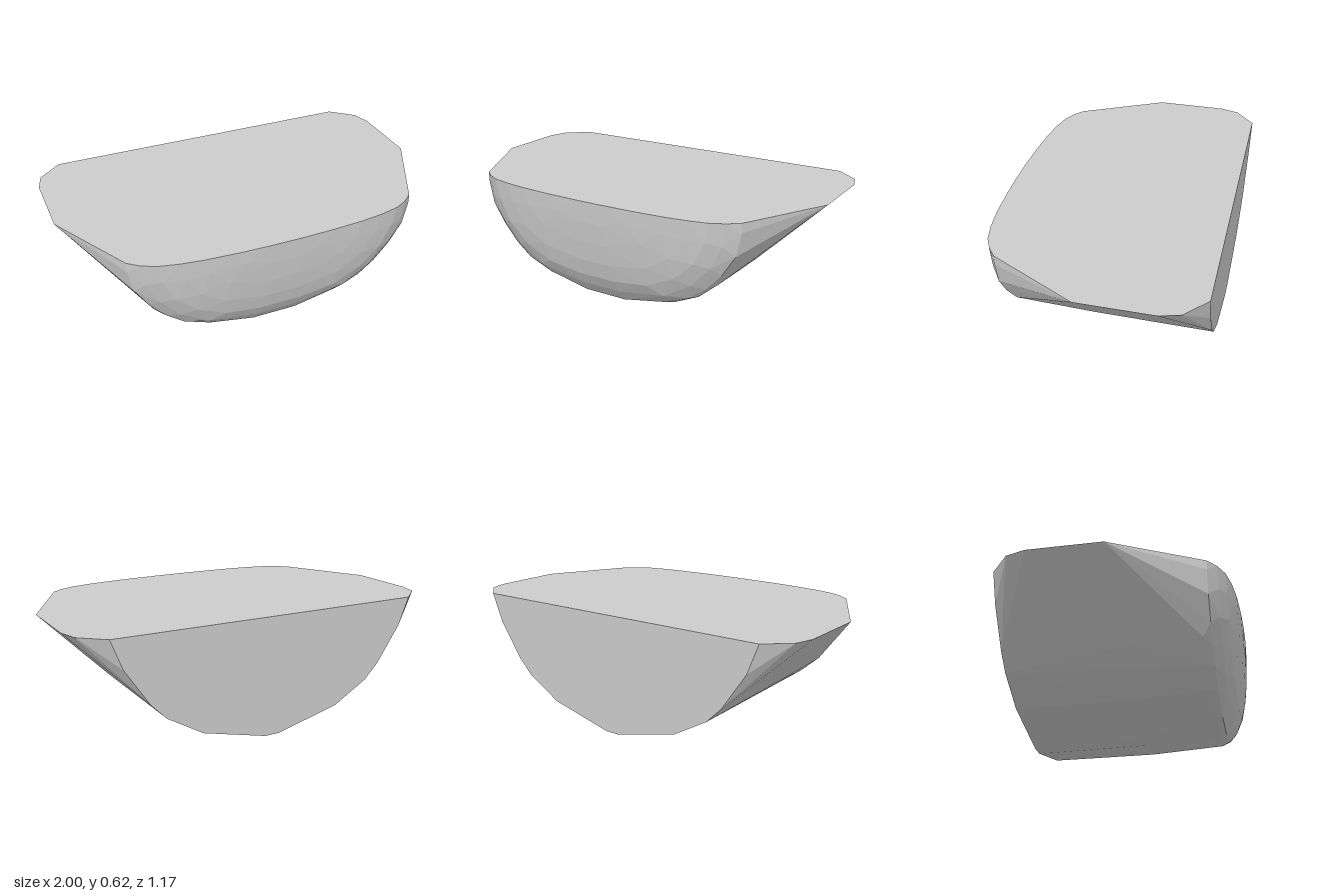
import * as THREE from 'three';
import { ConvexGeometry } from 'three/addons/geometries/ConvexGeometry.js';

const TOP = 0.62;

// Half cross-sections from back to front: z, then [x, y] from rim to keel.
const sections = [
  [-0.585, [[0.85, TOP], [0.79, 0.47], [0.66, 0.28], [0.58, 0.2], [0.39, 0.09], [0.04, 0.004]]],
  [-0.48, [[0.97, TOP]]],
  [-0.38, [[1, TOP]]],
  [0, [[1, TOP], [0.64, 0.26], [0.5, 0.157], [0.39, 0.09], [0.04, 0.011]]],
  [0.41, [[0.785, TOP], [0.64, 0.275], [0.53, 0.18], [0.39, 0.115], [0.14, 0.066]]],
  [0.45, [[0.765, TOP], [0.765, 0.57], [0.74, 0.45], [0.67, 0.34], [0.59, 0.25], [0.5, 0.18], [0.36, 0.125], [0.12, 0.078]]],
  [0.495, [[0.71, TOP], [0.69, 0.5], [0.63, 0.38], [0.53, 0.27], [0.38, 0.18], [0.12, 0.14]]],
  [0.53, [[0.64, TOP], [0.62, 0.52], [0.56, 0.4], [0.45, 0.3], [0.3, 0.23], [0.11, 0.205]]],
  [0.553, [[0.54, TOP], [0.51, 0.52], [0.44, 0.41], [0.31, 0.33], [0.1, 0.295]]],
  [0.569, [[0.42, TOP], [0.39, 0.53], [0.3, 0.45], [0.09, 0.4]]],
  [0.58, [[0.25, TOP], [0.2, 0.55], [0.07, 0.51]]],
  [0.585, [[0.08, TOP]]],
];

export function createModel() {
  const group = new THREE.Group();
  group.name = 'hullBlock';

  // Mirror each section and wrap them all in one faceted convex skin
  const points = [];
  for (const [z, half] of sections) {
    for (const [x, y] of half) {
      for (const side of [-1, 1]) points.push(new THREE.Vector3(side * x, y, z));
    }
  }
  const material = new THREE.MeshStandardMaterial({ color: 0xcccccc, flatShading: true });
  const hull = new THREE.Mesh(new ConvexGeometry(points), material);
  hull.name = 'hull';
  group.add(hull);
  return group;
}
